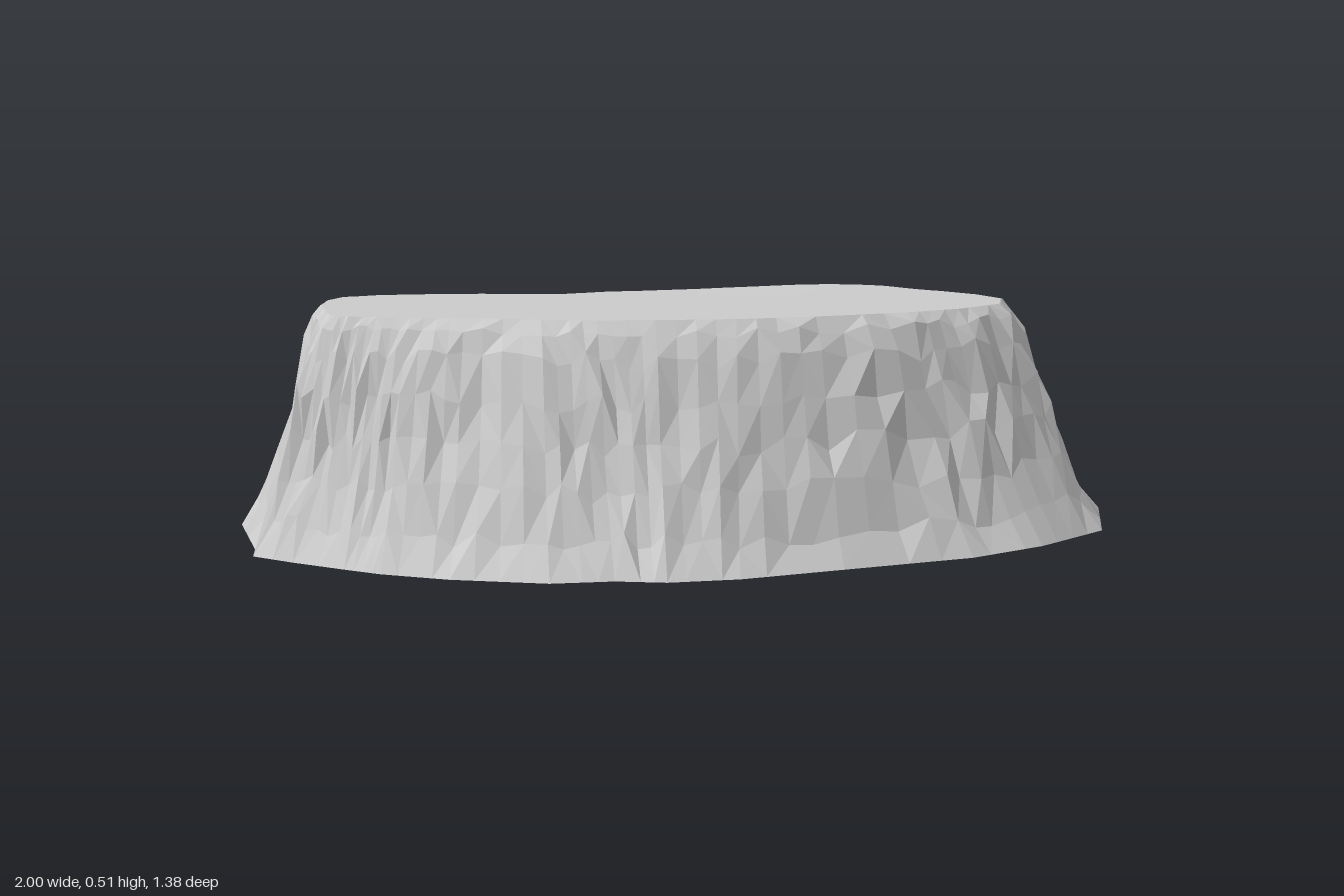
import * as THREE from 'three';

// Paired outline points, clockwise from the back right corner: base x, base z, rim x, rim z
const OUTLINE = [
  [-0.84, -0.65, -0.75, -0.29], [-0.71, -0.695, -0.67, -0.32], [-0.61, -0.62, -0.57, -0.33],
  [-0.42, -0.59, -0.41, -0.31], [-0.30, -0.55, -0.32, -0.27], [-0.20, -0.495, -0.22, -0.26],
  [-0.10, -0.485, -0.11, -0.30], [0.01, -0.525, 0.01, -0.31], [0.20, -0.52, 0.19, -0.33],
  [0.40, -0.485, 0.36, -0.32], [0.56, -0.50, 0.48, -0.295], [0.73, -0.515, 0.59, -0.26],
  [0.77, -0.46, 0.63, -0.22], [0.86, -0.25, 0.70, -0.13], [0.95, -0.03, 0.75, -0.02],
  [1.00, 0.16, 0.76, 0.11], [0.89, 0.41, 0.70, 0.24], [0.69, 0.535, 0.56, 0.34],
  [0.50, 0.61, 0.42, 0.395], [0.20, 0.655, 0.20, 0.44], [-0.03, 0.69, 0.02, 0.46],
  [-0.18, 0.685, -0.15, 0.445], [-0.28, 0.65, -0.27, 0.42], [-0.41, 0.64, -0.38, 0.38],
  [-0.60, 0.56, -0.53, 0.31], [-0.73, 0.48, -0.64, 0.27], [-0.80, 0.42, -0.71, 0.245],
  [-0.90, 0.33, -0.77, 0.22], [-0.98, 0.25, -0.80, 0.18], [-0.975, 0.18, -0.81, 0.11],
  [-1.00, -0.10, -0.81, -0.08], [-0.95, -0.43, -0.79, -0.21],
];
const SPLIT = 4;
const SEGMENTS = OUTLINE.length * SPLIT;

// Cliff profile: height, share of the way from base to rim
const PROFILE = [
  [0, 0], [0.07, 0.2], [0.16, 0.38], [0.25, 0.53], [0.34, 0.65], [0.42, 0.78], [0.475, 0.89], [0.502, 1],
];

// Repeatable noise in -1..1
function hash(a, b) {
  const s = Math.sin(a * 127.1 + b * 311.7) * 43758.5453;
  return (s - Math.floor(s)) * 2 - 1;
}

// Slight swelling along the back of the plateau
function swell(p) {
  return 0.009 * Math.exp(-((p.x - 0.45) ** 2) / 0.05 - ((p.z + 0.28) ** 2) / 0.01);
}

// Point on the base (column 0) or the rim (column 2) of the outline
function outlinePoint(i, column) {
  const a = OUTLINE[Math.floor(i / SPLIT)];
  const b = OUTLINE[(Math.floor(i / SPLIT) + 1) % OUTLINE.length];
  const f = (i % SPLIT) / SPLIT;
  return new THREE.Vector3(
    THREE.MathUtils.lerp(a[column], b[column], f), 0,
    THREE.MathUtils.lerp(a[column + 1], b[column + 1], f));
}

// Mesh from stacked rings of equal length
function loft(name, rings, material) {
  const index = [];
  for (let r = 0; r < rings.length - 1; r++) {
    for (let i = 0; i < SEGMENTS; i++) {
      const a = r * SEGMENTS + i, b = r * SEGMENTS + (i + 1) % SEGMENTS;
      const c = a + SEGMENTS, d = b + SEGMENTS;
      if (hash(i, r + 70) > 0) index.push(b, a, c, b, c, d);
      else index.push(b, a, d, a, c, d);
    }
  }
  const geometry = new THREE.BufferGeometry().setFromPoints(rings.flat());
  geometry.setIndex(index);
  geometry.computeVertexNormals();
  const mesh = new THREE.Mesh(geometry, material);
  mesh.name = name;
  return mesh;
}

export function createModel() {
  const group = new THREE.Group();
  group.name = 'rockPlateau';
  const material = new THREE.MeshStandardMaterial({
    color: 0xcccccc, flatShading: true, side: THREE.DoubleSide,
  });

  // Rings of the cliff, weathered by slanting gullies and small chips
  const columns = Array.from({ length: SEGMENTS }, (_, i) => i);
  const rings = PROFILE.map(([y, t], r) => columns.map((i) => {
    const base = outlinePoint(i, 0), rim = outlinePoint(i, 2);
    const out = base.clone().sub(rim).normalize();
    const p = base.lerp(rim, t);
    const strength = Math.sin(Math.PI * y / 0.54) * (p.x < -0.4 ? 1.25 : 1);
    const gully = hash(Math.floor((i + r * 0.5) / 3), 3) * 0.009;
    const chip = hash(i, r + 20) * 0.009;
    p.addScaledVector(out, (gully + chip - 0.004) * strength);
    p.y = y;
    if (r === PROFILE.length - 1) p.y += swell(p);
    else if (r > 0) p.y += hash(i, r + 50) * (y > 0.45 ? 0.01 : 0.022);
    return p;
  }));
  // Cliff walls, open underneath
  group.add(loft('cliffWalls', rings, material));

  // Nearly flat top, closed at its middle
  const centre = new THREE.Vector3(-0.03, 0.502, 0.06);
  const edge = rings[rings.length - 1];
  const topRings = [1, 0.8, 0.5, 0].map((s) => edge.map((p) => {
    const q = centre.clone().lerp(p, s);
    q.y = 0.502 + swell(q);
    return q;
  }));
  group.add(loft('plateauTop', topRings, material));

  return group;
}
